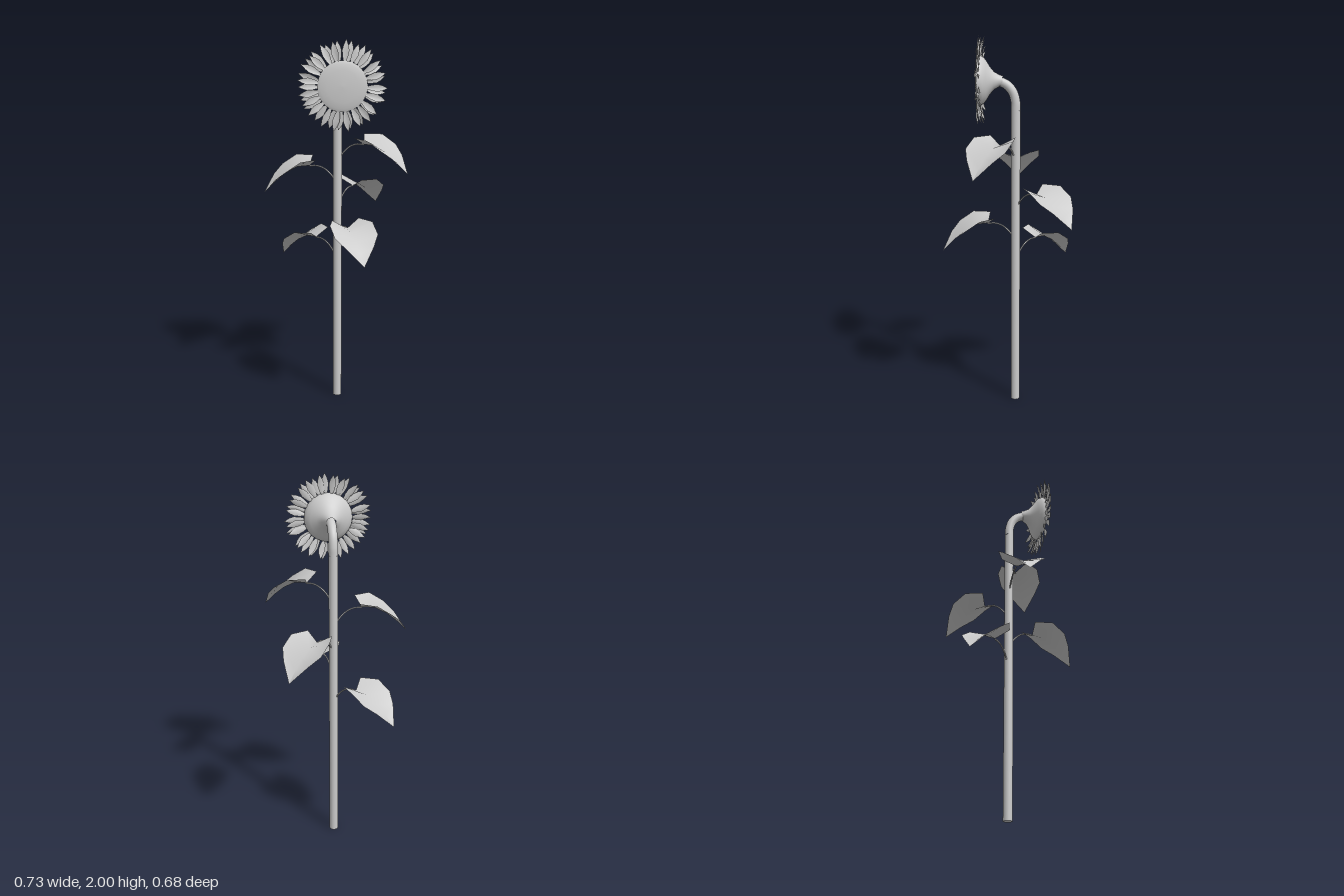
import * as THREE from 'three';

const STEM_X = 0.027, STEM_Z = -0.041, STEM_R = 0.024, HEAD_Y = 1.77;
const solid = new THREE.MeshStandardMaterial({ color: 0xcccccc });
const thin = new THREE.MeshStandardMaterial({ color: 0xcccccc, side: THREE.DoubleSide });

function addMesh(parent, name, geometry, material) {
  const mesh = new THREE.Mesh(geometry, material);
  mesh.name = name;
  parent.add(mesh);
  return mesh;
}

// Folded blade from rows of [along, halfWidth, edgeAlong, midHeight, edgeHeight];
// runs along +x, its width lies on z and its height on y.
function bladeGeometry(rows) {
  const positions = [], index = [];
  for (const [u, w, edgeU, midH, edgeH] of rows) {
    positions.push(edgeU, edgeH, -w, u, midH, 0, edgeU, edgeH, w);
  }
  for (let i = 0; i < rows.length - 1; i++) {
    for (let k = 0; k < 2; k++) {
      const a = i * 3 + k, b = a + 1, c = a + 3, d = a + 4;
      index.push(a, b, c, b, d, c);
    }
  }
  const geometry = new THREE.BufferGeometry();
  geometry.setAttribute('position', new THREE.Float32BufferAttribute(positions, 3));
  geometry.setIndex(index);
  geometry.computeVertexNormals();
  return geometry;
}

// Seeded generator for the uneven petals
function seeded(seed) {
  return () => {
    seed = (seed * 16807) % 2147483647;
    return seed / 2147483647;
  };
}

function createStem() {
  const stem = new THREE.Group();
  stem.name = 'stem';
  const straight = addMesh(stem, 'stalk',
    new THREE.CylinderGeometry(STEM_R, STEM_R, 1.62, 20), solid);
  straight.position.set(STEM_X, 0.81, STEM_Z);
  // Neck bending forward into the head
  const path = new THREE.CatmullRomCurve3([
    [1.62, STEM_Z], [1.66, -0.04], [1.71, -0.027], [1.745, 0.0], [1.762, 0.03], [1.768, 0.06],
  ].map(([y, z]) => new THREE.Vector3(STEM_X, y, z)));
  addMesh(stem, 'neck', new THREE.TubeGeometry(path, 20, STEM_R, 20), solid);
  return stem;
}

function createHead() {
  const head = new THREE.Group();
  head.name = 'flowerHead';
  head.position.set(STEM_X, HEAD_Y, 0);

  // Flared back of the head
  const back = [[0.024, 0.025], [0.031, 0.045], [0.045, 0.07], [0.068, 0.09],
    [0.096, 0.107], [0.116, 0.122], [0.125, 0.138], [0.126, 0.15]];
  // Slightly domed seed disc
  const disc = [[0.126, 0.15], [0.11, 0.156], [0.08, 0.16], [0.04, 0.163], [0, 0.164]];
  for (const [name, profile] of [['calyx', back], ['seedDisc', disc]]) {
    const points = profile.map(([r, z]) => new THREE.Vector2(r, z));
    const geometry = new THREE.LatheGeometry(points, 36).rotateX(Math.PI / 2);
    addMesh(head, name, geometry, solid);
  }

  // Two rings of pointed petals
  const petal = bladeGeometry([
    [0, 0.005, 0, 0, 0], [0.03, 0.014, 0.03, -0.002, 0.003], [0.06, 0.018, 0.06, -0.001, 0.004],
    [0.085, 0.013, 0.085, -0.002, 0.002], [0.115, 0.0005, 0.115, -0.006, -0.006],
  ]).rotateX(Math.PI / 2);
  const random = seeded(71);
  const count = 21;
  for (const [name, z, lean, turn] of [['frontPetal', 0.15, 0.0, 0], ['backPetal', 0.14, 0.1, 0.5]]) {
    for (let i = 0; i < count; i++) {
      const spin = new THREE.Group();
      spin.name = name + 'Mount';
      spin.rotation.z = (i + turn + (random() - 0.5) * 0.4) / count * Math.PI * 2;
      const mesh = addMesh(spin, name, petal, thin);
      mesh.position.set(0.117, 0, z);
      mesh.rotation.set((random() - 0.5) * 0.5, lean + (random() - 0.4) * 0.16, (random() - 0.5) * 0.16);
      mesh.scale.x = 0.88 + random() * 0.11;
      head.add(spin);
    }
  }
  return head;
}

function createLeaves() {
  const leaves = new THREE.Group();
  leaves.name = 'leaves';
  // Heart-shaped blade, raised at the lobes and drooping to its tip
  const blade = bladeGeometry([
    [0.147, 0.075, 0.122, 0, 0.043], [0.215, 0.118, 0.207, -0.005, 0.04],
    [0.28, 0.118, 0.282, -0.04, -0.008], [0.335, 0.075, 0.333, -0.085, -0.055],
    [0.39, 0.0005, 0.39, -0.14, -0.14],
  ]);
  // Thin arched leaf stalk
  const arch = new THREE.CatmullRomCurve3([
    [0.015, -0.08], [0.035, -0.05], [0.07, -0.018], [0.11, -0.002], [0.15, -0.002],
  ].map(([u, h]) => new THREE.Vector3(u, h, 0)));
  const stalk = new THREE.TubeGeometry(arch, 14, 0.004, 8);

  // Height and heading, measured from +x towards +z
  for (const [y, degrees] of [[1.46, 30], [1.34, 180], [1.2, -48], [1.03, 77], [0.915, -135]]) {
    const leaf = new THREE.Group();
    leaf.name = 'leaf';
    leaf.position.set(STEM_X, y, STEM_Z);
    leaf.rotation.y = -THREE.MathUtils.degToRad(degrees);
    addMesh(leaf, 'leafBlade', blade, thin);
    addMesh(leaf, 'leafStalk', stalk, solid);
    leaves.add(leaf);
  }
  return leaves;
}

export function createModel() {
  const model = new THREE.Group();
  model.name = 'sunflower';
  model.add(createStem(), createHead(), createLeaves());
  return model;
}
